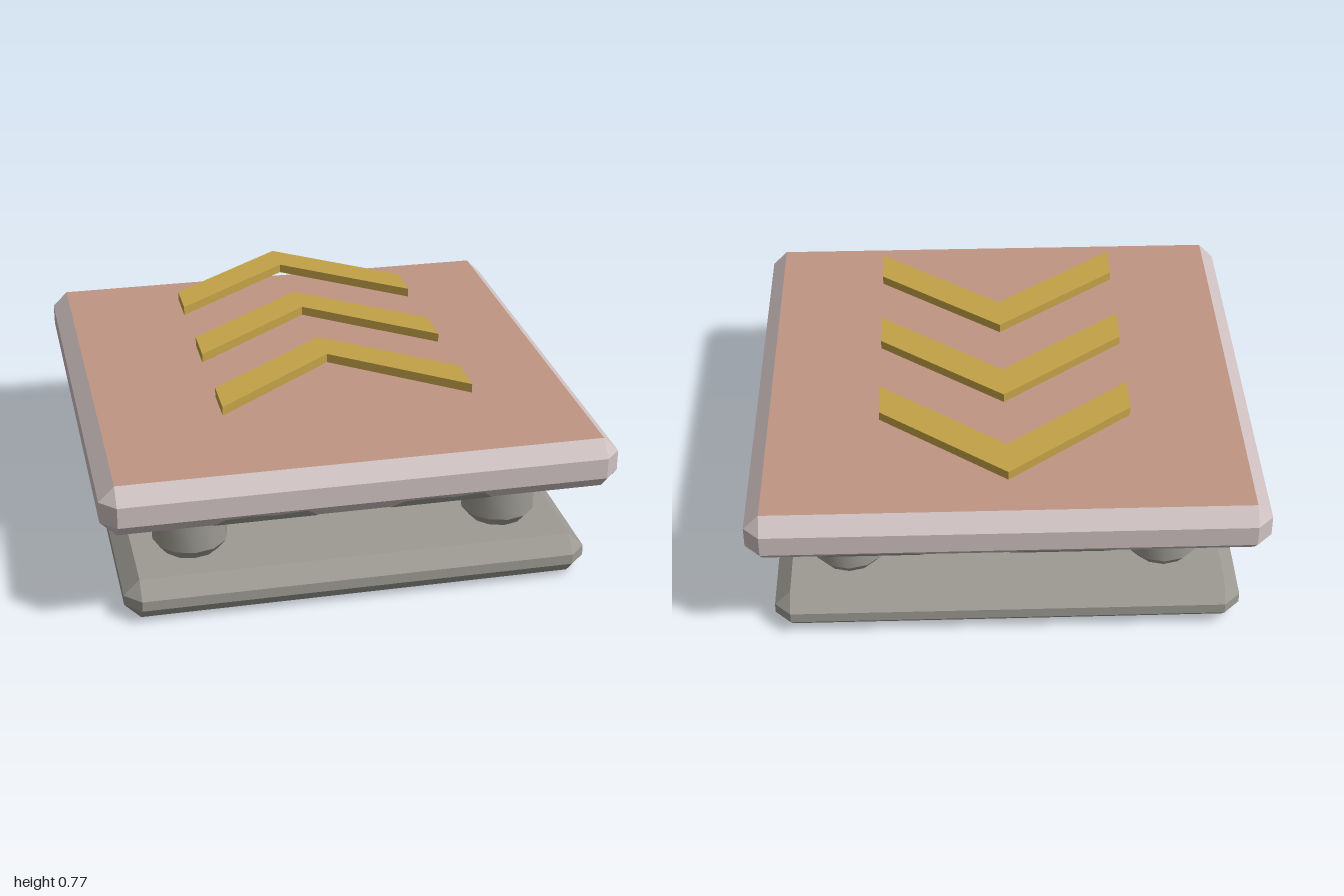
import * as THREE from 'three';
import { ConvexGeometry } from 'three/addons/geometries/ConvexGeometry.js';
import { toCreasedNormals } from 'three/addons/utils/BufferGeometryUtils.js';

const mat = (name, color) => {
  const m = new THREE.MeshStandardMaterial({ color });
  m.name = name;
  return m;
};

// Square slab with every edge and corner chamfered
function chamferedSlab(half, y0, y1, c) {
  const pts = [], i = half - c;
  for (const sx of [-1, 1]) for (const sz of [-1, 1]) {
    for (const y of [y0, y1]) pts.push(new THREE.Vector3(sx * i, y, sz * i));
    for (const y of [y0 + c, y1 - c]) {
      pts.push(new THREE.Vector3(sx * half, y, sz * i), new THREE.Vector3(sx * i, y, sz * half));
    }
  }
  return new ConvexGeometry(pts);
}

// Material 1 on level faces, material 0 on the rest
function groupLevelFaces(geo) {
  const n = geo.attributes.normal;
  for (let i = 0; i < n.count; i += 3) geo.addGroup(i, 3, Math.abs(n.getY(i)) > 0.99 ? 1 : 0);
  return geo;
}

export function createModel() {
  const model = new THREE.Group();
  model.name = 'boostPad';
  const stone = mat('warmGrey', 0x9c9a92);
  const rim = mat('palePinkGrey', 0xcfc1c1);
  const clay = mat('clayPink', 0xc09584);
  const navy = mat('slateBlue', 0x565a78);
  const gold = mat('gold', 0xc2a147);

  const add = (name, geo, material, parent = model) => {
    const m = new THREE.Mesh(geo, material);
    m.name = name;
    parent.add(m);
    return m;
  };

  // Two plates
  add('basePlate', chamferedSlab(0.917, 0.003, 0.17, 0.063), stone);
  add('topPlate', groupLevelFaces(chamferedSlab(1, 0.422, 0.627, 0.061)), [rim, clay]);

  // Corner pillars with a tapered foot
  const profile = [[0, 0.165], [0.11, 0.165], [0.148, 0.212], [0.148, 0.425], [0, 0.425]]
    .map(([x, y]) => new THREE.Vector2(x, y));
  const pillarGeo = toCreasedNormals(new THREE.LatheGeometry(profile, 12), 0.6);
  for (const sx of [-1, 1]) for (const sz of [-1, 1]) {
    add('pillar', pillarGeo, stone).position.set(sx * 0.625, 0, sz * 0.625);
  }

  // Nine-sided core
  const coreProfile = [[0, 0.165], [0.24, 0.165], [0.34, 0.267], [0.34, 0.325], [0.24, 0.425], [0, 0.425]]
    .map(([x, y]) => new THREE.Vector2(x, y));
  const coreGeo = toCreasedNormals(new THREE.LatheGeometry(coreProfile, 9, Math.PI / 2), 0.1);
  add('core', coreGeo, navy);

  // Floating chevrons pointing to the back
  const chevron = new THREE.Shape([[0, 0], [-0.49, -0.392], [-0.49, -0.565], [0, -0.172], [0.49, -0.565], [0.49, -0.392]]
    .map(([x, y]) => new THREE.Vector2(x, y)));
  const chevronGeo = new THREE.ExtrudeGeometry(chevron, { depth: 0.036, bevelEnabled: false });
  chevronGeo.rotateX(-Math.PI / 2);
  for (const z of [-0.888, -0.395, 0.098]) add('chevron', chevronGeo, gold).position.set(0, 0.734, z);

  // Worn patches on the lower chamfer of the top plate
  const patch = new THREE.Shape([[-0.2, -0.042], [-0.16, 0.02], [-0.06, 0.034], [0.04, 0.015], [0.15, 0.038], [0.2, -0.042]]
    .map(([x, y]) => new THREE.Vector2(x, y)));
  const patchGeo = new THREE.ShapeGeometry(patch);
  patchGeo.rotateX(Math.PI / 4).translate(0, 0.4505, 0.9715);
  const sides = [[-0.38, 0.3], [0.62, -0.08], [-0.52, 0.2], [-0.4, 0.35]];
  sides.forEach((offsets, k) => {
    const side = new THREE.Group();
    side.name = 'wornEdge';
    side.rotation.y = k * Math.PI / 2;
    for (const x of offsets) add('wornPatch', patchGeo, stone, side).position.x = x;
    model.add(side);
  });

  return model;
}
